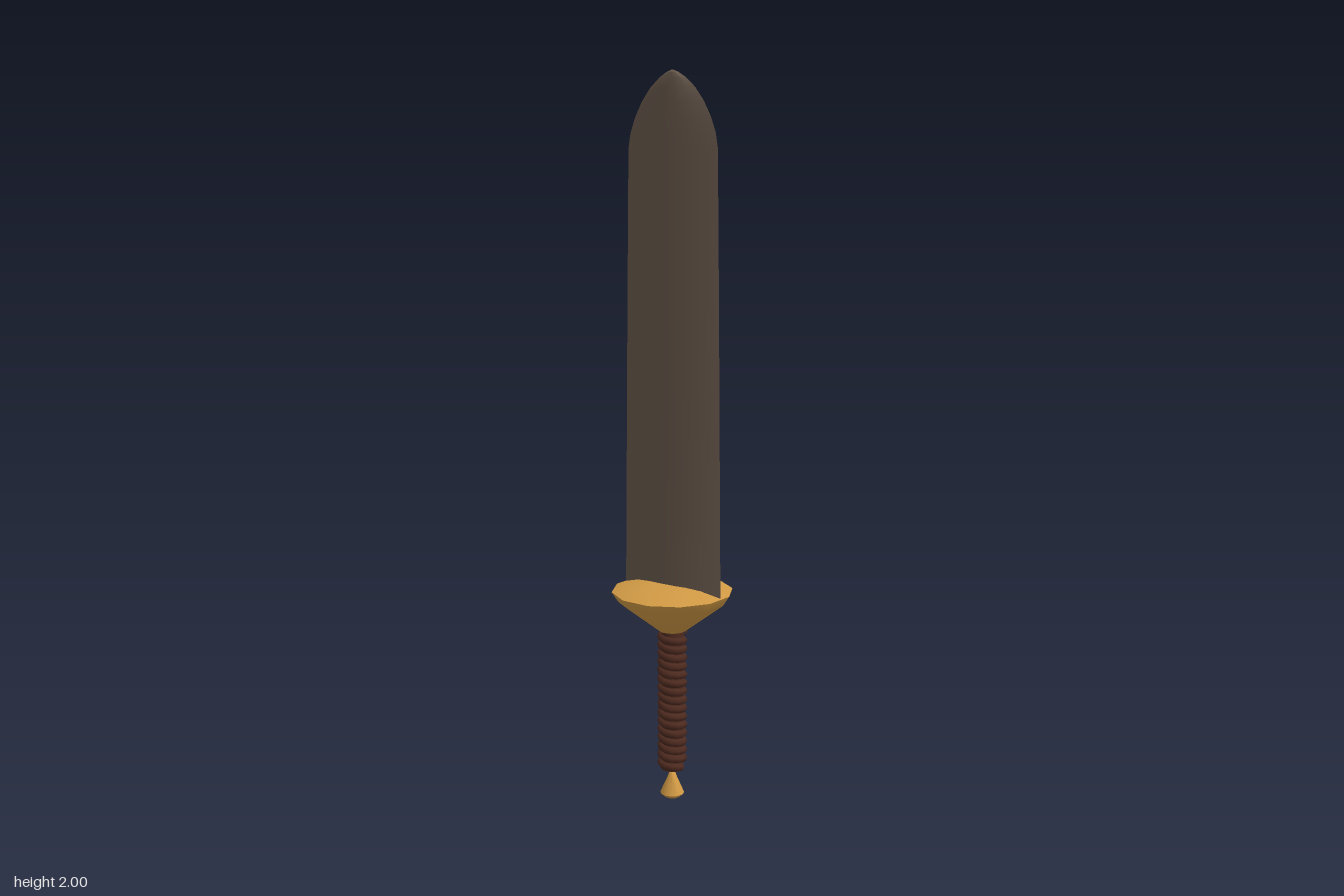
import * as THREE from 'three';
import { toCreasedNormals } from 'three/addons/utils/BufferGeometryUtils.js';

const material = (name, color) => {
  const m = new THREE.MeshStandardMaterial({ color });
  m.name = name;
  return m;
};

const lathe = (profile, segments, phi = 0) => toCreasedNormals(
  new THREE.LatheGeometry(profile.map(([r, y]) => new THREE.Vector2(r, y)), segments, phi), 0.65);

// Blade: one flattened lens section, scaled along the height
function bladeGeometry() {
  const section = [[1, 0], [0.7, -0.62], [0.2, -1], [-0.2, -1], [-0.7, -0.62],
    [-1, 0], [-0.7, 0.62], [-0.2, 1], [0.2, 1], [0.7, 0.62]];
  // height, half width, half thickness
  const rings = [[0.6, 0.158, 0.024], [1.0, 0.153, 0.021], [1.4, 0.148, 0.018],
    [1.8, 0.142, 0.015], [1.84, 0.135, 0.0145], [1.88, 0.12, 0.014], [1.92, 0.098, 0.0135],
    [1.955, 0.071, 0.013], [1.98, 0.042, 0.0125], [1.994, 0.019, 0.01], [2, 0.002, 0.002]];
  const n = section.length, pos = [], idx = [];
  for (const [y, w, t] of rings) for (const [x, z] of section) pos.push(x * w, y, z * t);
  for (let r = 0; r < rings.length - 1; r++) {
    for (let i = 0; i < n; i++) {
      const a = r * n + i, b = r * n + (i + 1) % n;
      idx.push(a, b, b + n, a, b + n, a + n);
    }
  }
  // Flat caps at the base and the tip
  const top = (rings.length - 1) * n;
  for (let i = 1; i < n - 1; i++) {
    idx.push(0, i + 1, i, top, top + i, top + i + 1);
  }
  const g = new THREE.BufferGeometry();
  g.setAttribute('position', new THREE.Float32BufferAttribute(pos, 3));
  g.setIndex(idx);
  return toCreasedNormals(g, 0.6);
}

// Cord wound round the grip
function wrapGeometry() {
  const turns = 16, steps = turns * 12, pts = [];
  for (let i = 0; i <= steps; i++) {
    const a = (i / 12) * Math.PI * 2;
    pts.push(new THREE.Vector3(Math.cos(a) * 0.031, 0.095 + 0.392 * i / steps, Math.sin(a) * 0.031));
  }
  return new THREE.TubeGeometry(new THREE.CatmullRomCurve3(pts), steps, 0.0115, 6);
}

export function createModel() {
  const steel = material('dark steel', 0x66574b);
  const gold = material('gold', 0xd19a45);
  const leather = material('brown leather', 0x4d2a1f);
  const group = new THREE.Group();
  group.name = 'sword';
  const add = (name, geometry, mat) => {
    const mesh = new THREE.Mesh(geometry, mat);
    mesh.name = name;
    group.add(mesh);
    return mesh;
  };

  add('blade', bladeGeometry(), steel);

  // Round guard: flared cup with a shallow domed top
  add('guard', lathe([[0, 0.49], [0.038, 0.49], [0.15, 0.576], [0.168, 0.604],
    [0.11, 0.621], [0.06, 0.625], [0, 0.625]], 12, THREE.MathUtils.degToRad(11.8)), gold);

  // Grip core and its wrapping
  add('gripCore', new THREE.CylinderGeometry(0.032, 0.032, 0.415, 12).translate(0, 0.2925, 0), leather);
  add('gripWrap', wrapGeometry(), leather);

  // Small conical pommel
  add('pommel', lathe([[0, 0], [0.022, 0.002], [0.034, 0.013], [0.014, 0.058],
    [0.008, 0.074], [0, 0.08]], 12), gold);

  return group;
}
